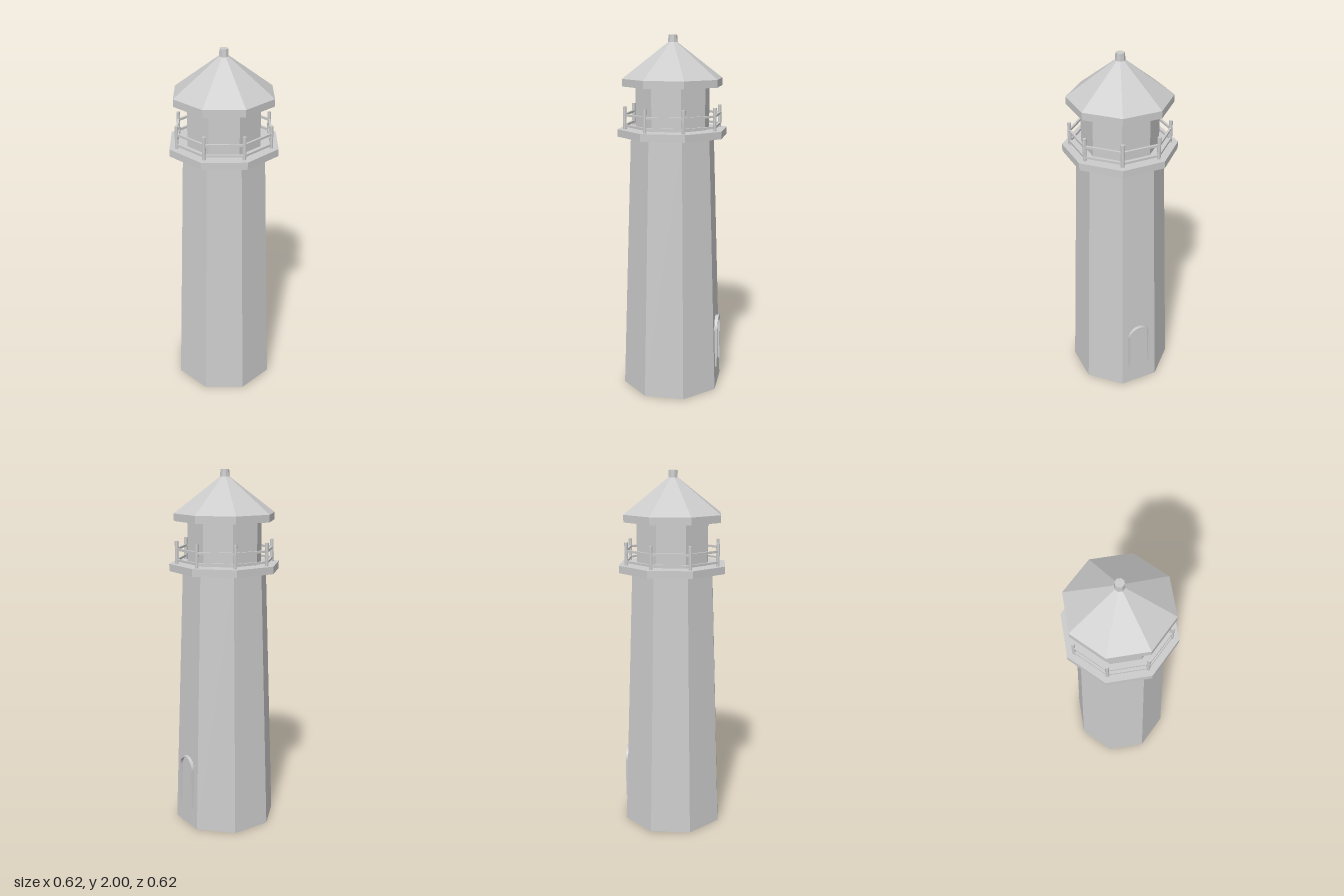
import * as THREE from 'three';

const SIDES = 8;
const material = new THREE.MeshStandardMaterial({ color: 0xcccccc, flatShading: true });

export function createModel() {
  const model = new THREE.Group();
  model.name = 'lighthouse';

  const add = (name, geometry, parent = model) => {
    const mesh = new THREE.Mesh(geometry, material);
    mesh.name = name;
    parent.add(mesh);
    return mesh;
  };

  // Octagonal frustum between two heights, corners on the axes
  const tier = (name, rBottom, rTop, y0, y1) => {
    const mesh = add(name, new THREE.CylinderGeometry(rTop, rBottom, y1 - y0, SIDES));
    mesh.position.y = (y0 + y1) / 2;
  };
  tier('tower', 0.29, 0.235, 0, 1.46);
  tier('galleryDeck', 0.309, 0.309, 1.46, 1.5);
  tier('lanternRoom', 0.207, 0.207, 1.5, 1.73);
  tier('roofRim', 0.28, 0.28, 1.73, 1.77);
  tier('roof', 0.28, 0.02, 1.77, 1.966);
  tier('finial', 0.027, 0.024, 1.95, 2);

  // Railing: a post at each corner and two rails along each side
  const railing = new THREE.Group();
  railing.name = 'railing';
  model.add(railing);
  const R = 0.267;
  const step = (Math.PI * 2) / SIDES;
  const postGeometry = new THREE.CylinderGeometry(0.01, 0.01, 0.123, 8);
  const railGeometry = new THREE.BoxGeometry(2 * R * Math.sin(step / 2), 0.012, 0.012);
  for (let i = 0; i < SIDES; i++) {
    const a = i * step;
    const post = add('railingPost', postGeometry, railing);
    post.position.set(R * Math.sin(a), 1.5615, R * Math.cos(a));
    const mid = a + step / 2;
    const apothem = R * Math.cos(step / 2);
    for (const y of [1.52, 1.578]) {
      const rail = add('rail', railGeometry, railing);
      rail.position.set(apothem * Math.sin(mid), y, apothem * Math.cos(mid));
      rail.rotation.y = mid;
    }
  }

  // Arched door frame, standing upright on one wall of the tower
  const outer = 0.068, inner = 0.056, foot = 0.12, spring = 0.345;
  const arch = new THREE.Shape();
  arch.moveTo(outer, foot);
  arch.lineTo(outer, spring);
  arch.absarc(0, spring, outer, 0, Math.PI, false);
  arch.lineTo(-outer, foot);
  arch.lineTo(-inner, foot);
  arch.lineTo(-inner, spring);
  arch.absarc(0, spring, inner, Math.PI, 0, true);
  arch.lineTo(inner, foot);
  const frame = add('doorFrame', new THREE.ExtrudeGeometry(arch, {
    depth: 0.035, bevelEnabled: false, curveSegments: 10,
  }));
  const doorAngle = Math.PI / 2 + step / 2;
  frame.rotation.y = doorAngle;
  frame.position.set(0.238 * Math.sin(doorAngle), 0, 0.238 * Math.cos(doorAngle));

  return model;
}
